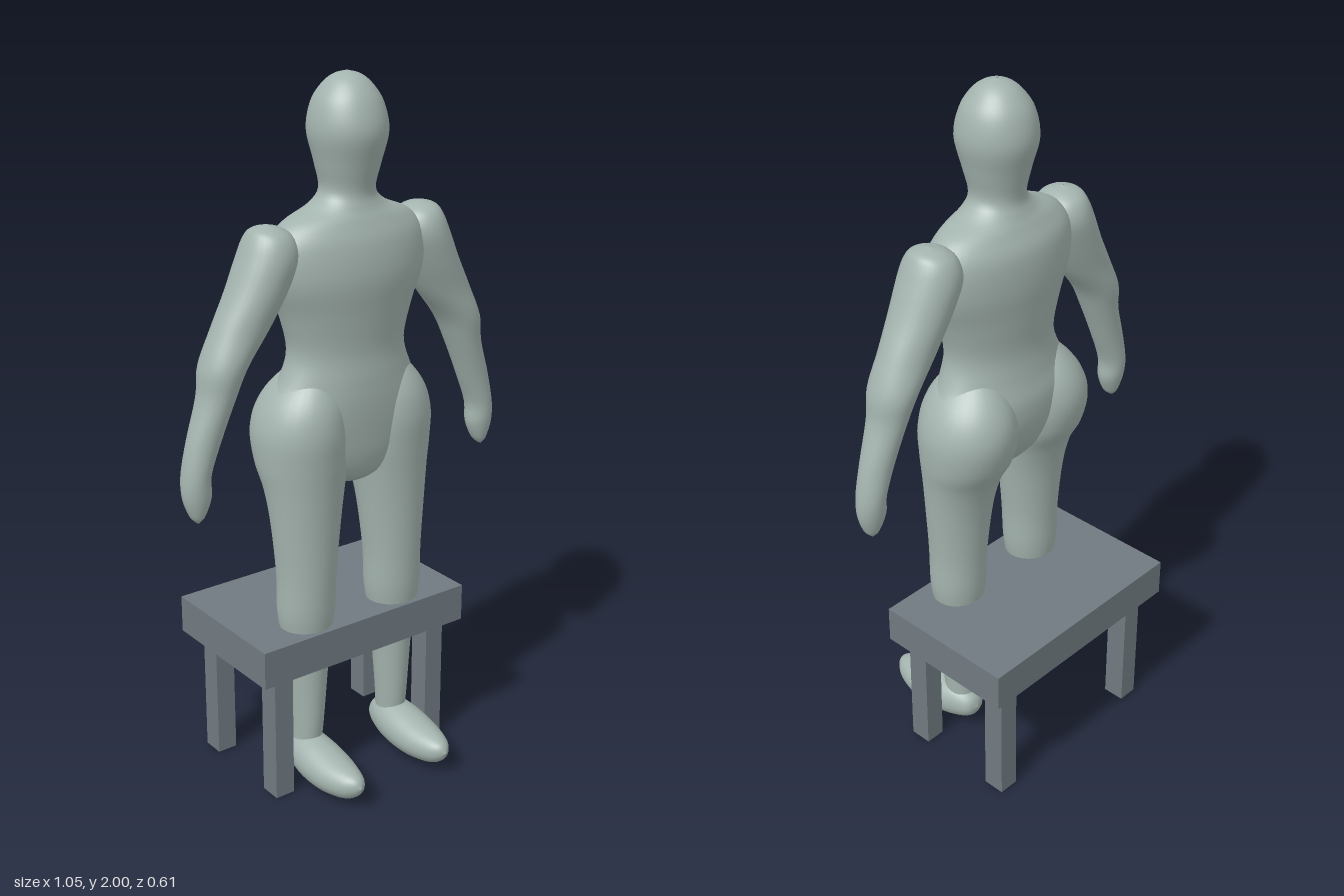
import * as THREE from 'three';

const skin = new THREE.MeshStandardMaterial({ color: 0xa3b3ae });
skin.name = 'pale grey green';
const slate = new THREE.MeshStandardMaterial({ color: 0x707a80 });
slate.name = 'slate grey';

// Smooth closed loft through elliptical sections [x, y, z, r1, r2].
// Rings lie flat (sections run upwards), or upright when alongZ (sections run forwards).
function loft(name, sections, { side = 1, alongZ = false, steps = 5, sides = 32 } = {}) {
  const centres = new THREE.CatmullRomCurve3(
    sections.map(s => new THREE.Vector3(s[0] * side, s[1], s[2])), false, 'catmullrom', 0.5);
  const radii = new THREE.CatmullRomCurve3(
    sections.map(s => new THREE.Vector3(s[3], s[4], 0)), false, 'catmullrom', 0.5);
  const rings = (sections.length - 1) * steps;
  const pos = [], index = [];
  for (let i = 0; i <= rings; i++) {
    const c = centres.getPoint(i / rings), r = radii.getPoint(i / rings);
    for (let j = 0; j < sides; j++) {
      const a = (j / sides) * Math.PI * 2;
      const u = Math.max(r.x, 0.001) * Math.cos(a), v = Math.max(r.y, 0.001) * Math.sin(a);
      if (alongZ) pos.push(c.x + u, c.y + v, c.z);
      else pos.push(c.x + u, c.y, c.z - v);
      if (i < rings) {
        const k = (j + 1) % sides, p = i * sides, q = p + sides;
        index.push(p + j, p + k, q + j, p + k, q + k, q + j);
      }
    }
  }
  const g = new THREE.BufferGeometry();
  g.setAttribute('position', new THREE.Float32BufferAttribute(pos, 3));
  g.setIndex(index);
  g.computeVertexNormals();
  const mesh = new THREE.Mesh(g, skin);
  mesh.name = name;
  return mesh;
}

function box(name, w, h, d, x, y, z) {
  const mesh = new THREE.Mesh(new THREE.BoxGeometry(w, h, d), slate);
  mesh.position.set(x, y, z);
  mesh.name = name;
  return mesh;
}

// Pelvis, waist, chest, neck and head in one skin
const torso = [
  [0, 0.88, 0.03, 0.005, 0.005],
  [0, 0.91, 0.03, 0.09, 0.065],
  [0, 0.97, 0.02, 0.2, 0.1],
  [0, 1.05, 0.01, 0.265, 0.12],
  [0, 1.13, 0.01, 0.248, 0.125],
  [0, 1.2, 0.017, 0.205, 0.117],
  [0, 1.28, 0.02, 0.18, 0.11],
  [0, 1.38, 0.021, 0.203, 0.12],
  [0, 1.48, 0.022, 0.24, 0.131],
  [0, 1.57, 0.02, 0.24, 0.123],
  [0, 1.625, 0.022, 0.195, 0.1],
  [0, 1.66, 0.023, 0.115, 0.083],
  [0, 1.7, 0.025, 0.076, 0.074],
  [0, 1.77, 0.027, 0.088, 0.09],
  [0, 1.85, 0.027, 0.105, 0.111],
  [0, 1.92, 0.025, 0.093, 0.098],
  [0, 1.965, 0.025, 0.065, 0.07],
  [0, 1.99, 0.025, 0.035, 0.037],
  [0, 2.0, 0.025, 0, 0],
];

// Hand up to shoulder
const arm = [
  [0.487, 0.88, 0.025, 0.004, 0.01],
  [0.485, 0.9, 0.024, 0.022, 0.024],
  [0.483, 0.95, 0.022, 0.04, 0.037],
  [0.482, 1.01, 0.02, 0.04, 0.042],
  [0.455, 1.1, 0.02, 0.047, 0.046],
  [0.415, 1.21, 0.02, 0.051, 0.058],
  [0.39, 1.29, 0.019, 0.064, 0.071],
  [0.335, 1.38, 0.019, 0.08, 0.073],
  [0.285, 1.47, 0.02, 0.083, 0.082],
  [0.25, 1.55, 0.02, 0.082, 0.086],
  [0.245, 1.6, 0.02, 0.064, 0.073],
  [0.25, 1.625, 0.02, 0.04, 0.045],
  [0.25, 1.636, 0.02, 0, 0],
];

// Ankle up to hip, with the seat rounding out behind
const leg = [
  [0.155, 0.07, 0.035, 0.04, 0.045],
  [0.152, 0.18, 0.042, 0.044, 0.052],
  [0.15, 0.38, 0.042, 0.06, 0.062],
  [0.152, 0.47, 0.04, 0.074, 0.07],
  [0.152, 0.54, 0.04, 0.084, 0.077],
  [0.15, 0.65, 0.04, 0.086, 0.081],
  [0.147, 0.8, 0.035, 0.101, 0.09],
  [0.144, 0.9, 0.025, 0.115, 0.105],
  [0.142, 0.98, 0.008, 0.13, 0.129],
  [0.142, 1.07, 0.002, 0.13, 0.141],
  [0.135, 1.15, 0.005, 0.105, 0.123],
  [0.125, 1.22, 0.012, 0.05, 0.07],
  [0.12, 1.25, 0.015, 0, 0],
];

// Heel forward to toe
const foot = [
  [0.155, 0.085, -0.035, 0, 0],
  [0.155, 0.085, -0.02, 0.035, 0.035],
  [0.155, 0.085, 0.03, 0.056, 0.06],
  [0.156, 0.077, 0.1, 0.067, 0.064],
  [0.156, 0.07, 0.18, 0.064, 0.056],
  [0.155, 0.07, 0.25, 0.045, 0.043],
  [0.153, 0.075, 0.285, 0.023, 0.025],
  [0.153, 0.077, 0.3, 0, 0],
];

export function createModel() {
  const model = new THREE.Group();
  model.name = 'figureWithBench';

  const figure = new THREE.Group();
  figure.name = 'figure';
  figure.add(loft('torsoAndHead', torso, { sides: 48 }));
  for (const [label, side] of [['left', 1], ['right', -1]]) {
    figure.add(
      loft(label + 'Arm', arm, { side }),
      loft(label + 'Leg', leg, { side }),
      loft(label + 'Foot', foot, { side, alongZ: true }),
    );
  }

  // Low bench that the legs pass through
  const bench = new THREE.Group();
  bench.name = 'bench';
  bench.add(box('benchTop', 0.7, 0.11, 0.43, 0, 0.435, -0.09));
  for (const x of [-0.27, 0.27])
    for (const z of [0.065, -0.237])
      bench.add(box('benchLeg', 0.06, 0.38, 0.065, x, 0.19, z));

  model.add(figure, bench);
  return model;
}
